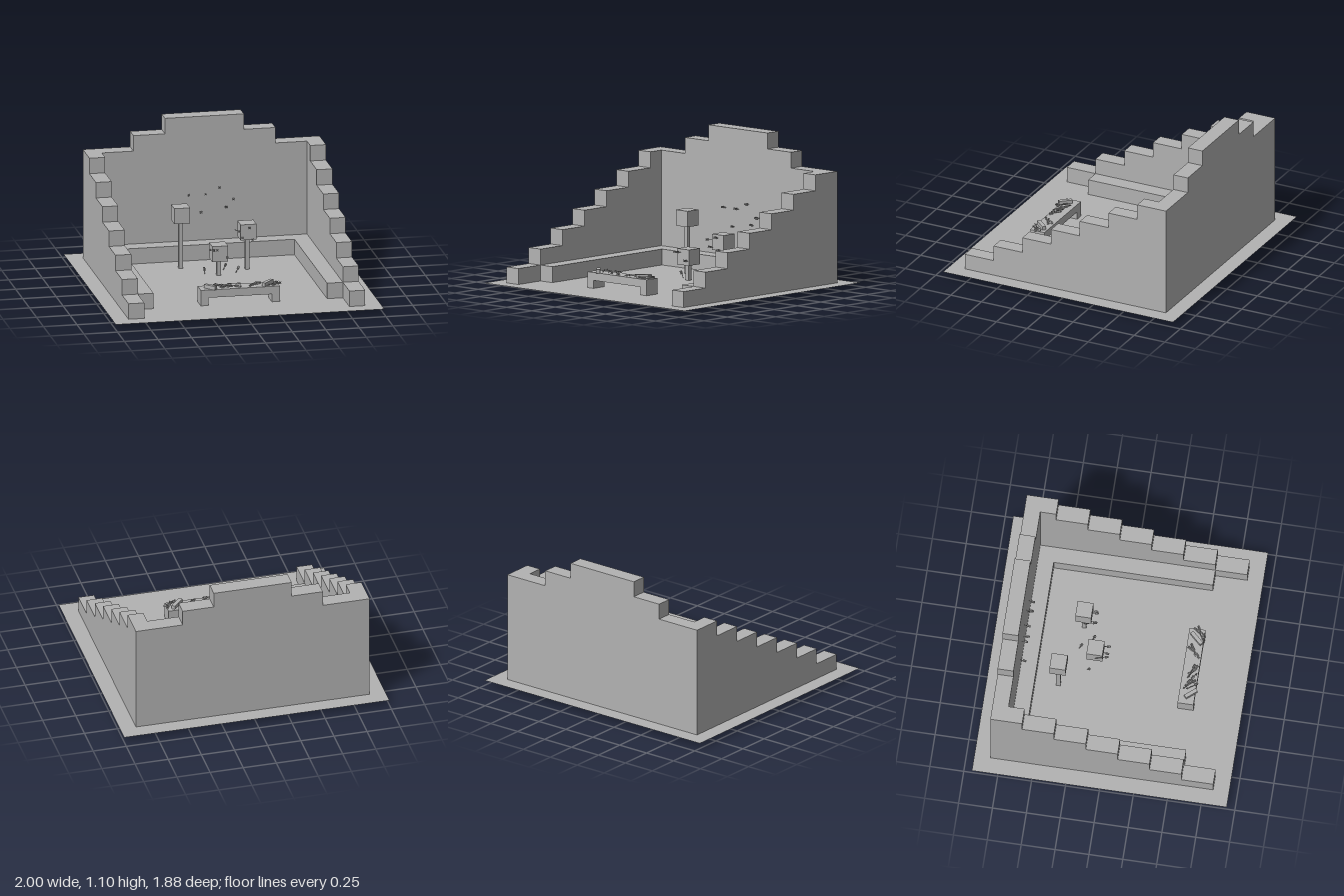
import * as THREE from 'three';
import { mergeGeometries } from 'three/addons/utils/BufferGeometryUtils.js';

const stone = new THREE.MeshStandardMaterial({ color: 0xb2b2b2, side: THREE.DoubleSide });
stone.name = 'plain grey';

const U = 0.1175;        // block size of the stepped walls
const GROUND = 0.04;     // ground level (arrow tips reach below it)
const NX = 15, NZ = 14;  // footprint of the walls in blocks

function add(parent, name, geometry, x = 0, y = 0, z = 0) {
  const mesh = new THREE.Mesh(geometry, stone);
  mesh.name = name;
  mesh.position.set(x, y, z);
  parent.add(mesh);
  return mesh;
}

// Column i runs left to right, row j from the back to the front
function column(i, j) {
  if (i < 0 || j < 0 || i >= NX || j >= NZ) return { part: 'ground', h: 0 };
  const side = Math.min(i, NX - 1 - i);
  if (j === 0) return { part: 'walls', h: side >= 5 ? 9 : side >= 3 ? 8 : 7 };
  if (side === 0) return { part: 'walls', h: 7 - Math.floor(j / 2) };
  if ((side === 1 && j < NZ - 2) || j === 1) return { part: 'ledge', h: 1 };
  return { part: 'ground', h: 0 };
}

// Hollow shell of stacked blocks: tops plus the sides that rise over a neighbour
function blockShell(part) {
  const pos = [];
  const quad = (a, b, c, d) => pos.push(...a, ...b, ...c, ...a, ...c, ...d);
  const Y = h => GROUND + h * U;
  for (let i = 0; i < NX; i++) for (let j = 0; j < NZ; j++) {
    const cell = column(i, j);
    if (cell.part !== part) continue;
    const x0 = (i - NX / 2) * U, x1 = x0 + U, z0 = (j - NZ / 2) * U, z1 = z0 + U;
    const top = Y(cell.h);
    quad([x0, top, z1], [x1, top, z1], [x1, top, z0], [x0, top, z0]);
    const sides = [
      [0, 1, x0, z1, x1, z1], [1, 0, x1, z1, x1, z0],
      [0, -1, x1, z0, x0, z0], [-1, 0, x0, z0, x0, z1],
    ];
    for (const [di, dj, ax, az, bx, bz] of sides) {
      const low = column(i + di, j + dj).h;
      if (low >= cell.h) continue;
      const y = Y(low);
      quad([ax, y, az], [bx, y, bz], [bx, top, bz], [ax, top, az]);
    }
  }
  const g = new THREE.BufferGeometry();
  g.setAttribute('position', new THREE.Float32BufferAttribute(pos, 3));
  g.computeVertexNormals();
  return g;
}

// Ground sheet, open beneath the walls and ledge
function groundSheet() {
  const s = new THREE.Shape([[-1, -0.94], [1, -0.94], [1, 0.94], [-1, 0.94]].map(p => new THREE.Vector2(...p)));
  const half = [[7.5, 7], [7.5, -7], [6.5, -7], [6.5, -5], [5.5, -5], [5.5, 5]];
  const mirrored = half.map(([x, y]) => [-x, y]).reverse();
  s.holes.push(new THREE.Path([...half, ...mirrored].map(([x, y]) => new THREE.Vector2(x * U, y * U))));
  return new THREE.ShapeGeometry(s).rotateX(-Math.PI / 2);
}

// Arrow with its tip at the origin and its tail toward +z
const LENGTH = 0.105;
function arrowGeometry() {
  const shaft = new THREE.CylinderGeometry(0.0025, 0.0025, LENGTH - 0.012, 6)
    .rotateX(Math.PI / 2).translate(0, 0, LENGTH / 2 + 0.006);
  const head = new THREE.ConeGeometry(0.006, 0.02, 4).rotateX(-Math.PI / 2).translate(0, 0, 0.01);
  const fins = [0, 1].map(k => new THREE.BoxGeometry(0.018, 0.002, 0.026)
    .translate(0, 0, LENGTH - 0.015).rotateZ(Math.PI / 4 + k * Math.PI / 2));
  return mergeGeometries([shaft, head, ...fins]);
}

export function createModel() {
  const model = new THREE.Group();
  model.name = 'archeryRange';
  add(model, 'ground', groundSheet(), 0, GROUND, 0);
  add(model, 'walls', blockShell('walls'));
  add(model, 'ledge', blockShell('ledge'));

  // Block targets on posts
  for (const [x, z, y] of [[-0.237, -0.417, 0.392], [0.233, -0.298, 0.275], [-0.003, -0.18, 0.157]]) {
    const target = new THREE.Group();
    target.name = 'target';
    target.position.set(x, 0, z);
    add(target, 'targetBlock', new THREE.BoxGeometry(U, U, U), 0, y + U / 2, 0);
    add(target, 'targetPost', new THREE.BoxGeometry(0.03, y - GROUND, 0.03), 0, (y + GROUND) / 2, 0);
    model.add(target);
  }

  // Bench with two quivers
  const bench = new THREE.Group();
  bench.name = 'bench';
  bench.position.z = 0.528;
  add(bench, 'benchTop', new THREE.BoxGeometry(0.588, 0.059, U), 0, 0.128, 0);
  for (const s of [-1, 1]) {
    add(bench, 'benchLeg', new THREE.BoxGeometry(0.059, 0.06, U), s * 0.2645, 0.07, 0);
  }
  add(bench, 'quiver', new THREE.BoxGeometry(0.028, 0.028, 0.1), -0.215, 0.171, 0.028).rotation.y = 0.7;
  add(bench, 'quiver', new THREE.BoxGeometry(0.028, 0.028, 0.115), 0.215, 0.171, 0.005).rotation.y = -0.75;
  model.add(bench);

  const arrowShape = arrowGeometry();
  const forward = new THREE.Vector3(0, 0, 1);
  function arrow(name, tip, dir) {
    const d = new THREE.Vector3(...dir).normalize();
    const mesh = add(model, name, arrowShape, ...tip);
    mesh.quaternion.setFromUnitVectors(forward, d);
  }

  // Arrows stuck in the back wall and the targets: x and y of the tail, z of the surface
  const hits = [
    [-0.195, 0.30, -0.705], [-0.122, 0.515, -0.705], [-0.028, 0.378, -0.705], [0, 0.515, -0.705],
    [0.108, 0.557, -0.705], [0.16, 0.41, -0.705], [0.207, 0.465, -0.705],
    [0.235, 0.378, -0.24], [0.158, 0.355, -0.24], [0.177, 0.305, -0.24], [0.257, 0.285, -0.24],
    [-0.055, 0.258, -0.12], [-0.033, 0.255, -0.12], [0.045, 0.2, -0.12],
  ];
  hits.forEach(([x, y, z], k) => {
    const lean = [(k % 3 - 1) * 0.18, 0.12 + (k % 2) * 0.1, 1];
    const n = Math.hypot(...lean), tail = [x, y, z + 0.045];
    arrow('stuckArrow', tail.map((v, a) => v - lean[a] / n * LENGTH), lean);
  });

  // Arrows fallen short into the ground
  arrow('groundArrow', [-0.09, 0, -0.24], [-0.015, 0.095, 0.035]);
  arrow('groundArrow', [0.045, 0, -0.325], [0.03, 0.09, 0.035]);
  arrow('groundArrow', [0.12, 0, -0.24], [0.035, 0.09, 0.035]);

  // Loose arrows on the bench: tip x, tip z, heading, height
  const loose = [
    [-0.19, 0.49, 0.9, 0.17], [-0.18, 0.5, 0.75, 0.18], [-0.165, 0.5, 1.0, 0.168], [-0.19, 0.51, 0.6, 0.176],
    [-0.1, 0.51, 1.0, 0.17], [-0.09, 0.52, 1.25, 0.18], [-0.07, 0.505, 0.85, 0.166],
    [-0.05, 0.58, -2.2, 0.172], [0.06, 0.575, 2.2, 0.167], [0.07, 0.58, 2.45, 0.166],
    [0.075, 0.545, 2.0, 0.168], [0.09, 0.57, 2.6, 0.167], [0.2, 0.585, 2.1, 0.168],
    [0.21, 0.595, 2.35, 0.172], [0.23, 0.59, 2.2, 0.166], [0.25, 0.595, 2.7, 0.168],
  ];
  for (const [x, z, a, y] of loose) arrow('looseArrow', [x, y, z], [Math.sin(a), 0, Math.cos(a)]);

  return model;
}
